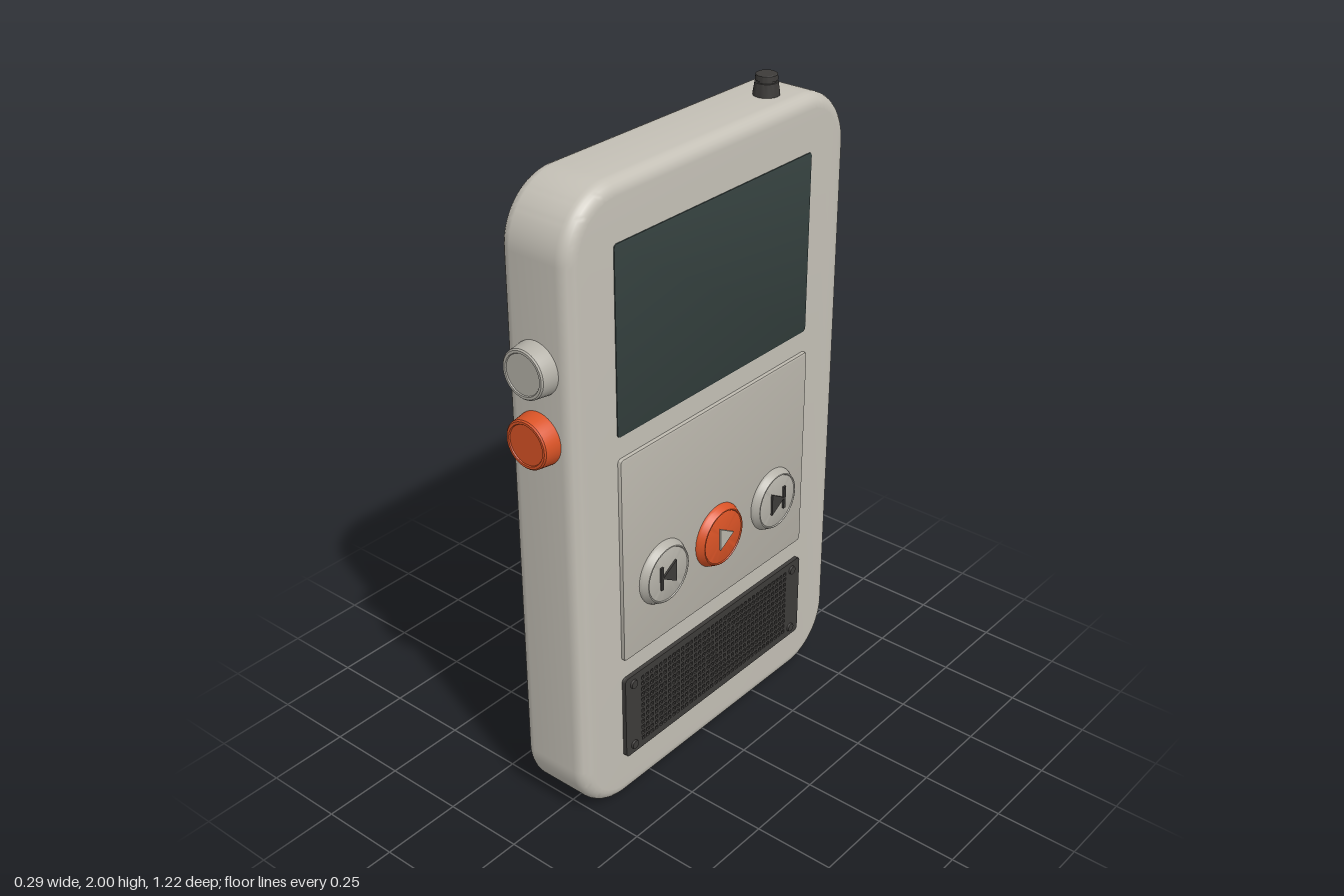
import * as THREE from 'three';
import { toCreasedNormals } from 'three/addons/utils/BufferGeometryUtils.js';

const mat = (color) => new THREE.MeshStandardMaterial({ color });
const shell = mat(0xc4c0b6), panelGrey = mat(0xb8b4aa), buttonGrey = mat(0xb4b1a8);
const orange = mat(0xd95326), dark = mat(0x3d3b39), glass = mat(0x34403e);

function add(parent, name, geometry, material, x = 0, y = 0, z = 0) {
  const mesh = new THREE.Mesh(geometry, material);
  mesh.name = name;
  mesh.position.set(x, y, z);
  parent.add(mesh);
  return mesh;
}

// Rounded rectangle outline
function roundRect(u0, u1, v0, v1, r) {
  const s = new THREE.Shape();
  s.absarc(u1 - r, v0 + r, r, -Math.PI / 2, 0);
  s.absarc(u1 - r, v1 - r, r, 0, Math.PI / 2);
  s.absarc(u0 + r, v1 - r, r, Math.PI / 2, Math.PI);
  s.absarc(u0 + r, v0 + r, r, Math.PI, Math.PI * 1.5);
  s.closePath();
  return s;
}

// Slab with rounded corners and bevelled edges, spanning exactly the given bounds
function slab([u0, u1], [v0, v1], [w0, w1], r, b, bevelSegments = 2, curveSegments = 4) {
  const g = new THREE.ExtrudeGeometry(roundRect(u0 + b, u1 - b, v0 + b, v1 - b, r - b), {
    depth: w1 - w0 - 2 * b, bevelThickness: b, bevelSize: b, bevelSegments, curveSegments,
  });
  g.translate(0, 0, w0 + b);
  return toCreasedNormals(g, 0.6);
}

// Turned part from [radius, height] points
function turned(points, segments = 40) {
  const g = new THREE.LatheGeometry(points.map((p) => new THREE.Vector2(...p)), segments);
  return toCreasedNormals(g, 0.5);
}

// Flat symbol made of a polygon
function symbol(points, depth) {
  const s = new THREE.Shape(points.map((p) => new THREE.Vector2(...p)));
  return new THREE.ExtrudeGeometry(s, { depth, bevelEnabled: false });
}

// Four small screws at the corners of a plate
function screws(parent, name, us, vs, w) {
  for (const u of us) for (const v of vs) {
    const g = new THREE.CylinderGeometry(0.013, 0.016, 0.012, 16).rotateX(Math.PI / 2);
    add(parent, name, g, parent.userData.screwMaterial, u, v, w);
  }
}

export function createModel() {
  const root = new THREE.Group();
  root.name = 'handheldPlayer';

  // Working face looks along +x: local x runs to -z, local z to +x
  const face = new THREE.Group();
  face.name = 'faceAssembly';
  face.rotation.y = Math.PI / 2;
  root.add(face);

  const wide = [-0.39, 0.44];
  add(face, 'body', slab([-0.56, 0.61], [0, 1.94], [-0.13, 0.105], 0.18, 0.04, 6, 12), shell);
  add(face, 'screen', slab(wide, [1.22, 1.775], [0.08, 0.108], 0.012, 0.003), glass);
  add(face, 'controlPanel', slab(wide, [0.495, 1.155], [0.08, 0.117], 0.012, 0.006), panelGrey);

  // Speaker: backing plate and perforated grille
  const speaker = new THREE.Group();
  speaker.name = 'speaker';
  speaker.userData.screwMaterial = dark;
  face.add(speaker);
  add(speaker, 'speakerPlate', slab(wide, [0.15, 0.43], [0.08, 0.111], 0.012, 0.003), dark);
  const grille = roundRect(wide[0], wide[1], 0.15, 0.43, 0.012);
  const pitch = 0.02, h = 0.006;
  for (let i = 0; i < 35; i++) for (let j = 0; j < 12; j++) {
    const u = 0.025 + (i - 17) * pitch, v = 0.29 + (j - 5.5) * pitch;
    const hole = new THREE.Path();
    hole.moveTo(u - h, v - h).lineTo(u - h, v + h).lineTo(u + h, v + h).lineTo(u + h, v - h).closePath();
    grille.holes.push(hole);
  }
  const grilleGeo = new THREE.ExtrudeGeometry(grille, { depth: 0.008, bevelEnabled: false, curveSegments: 3 });
  add(speaker, 'speakerGrille', grilleGeo, dark, 0, 0, 0.11);
  screws(speaker, 'speakerScrew', [-0.355, 0.4], [0.18, 0.4], 0.118);

  // Round playback buttons
  const buttonGeo = turned([
    [0.1, 0], [0.1, 0.014], [0.097, 0.02], [0.088, 0.036], [0.085, 0.037], [0.083, 0.034], [0, 0.034],
  ], 48).rotateX(Math.PI / 2);
  const buttons = [
    ['previous', -0.224, buttonGrey], ['play', 0.024, orange], ['next', 0.283, buttonGrey],
  ];
  for (const [name, u, material] of buttons) {
    const button = new THREE.Group();
    button.name = name + 'Button';
    button.position.set(u, 0.72, 0.105);
    face.add(button);
    add(button, name + 'Cap', buttonGeo, material);
    const play = name === 'play';
    const triangle = symbol([[-0.03, -0.036], [0.03, 0], [-0.03, 0.036]], 0.012);
    const icon = add(button, name + 'Symbol', triangle, play ? panelGrey : dark, play ? 0.012 : 0, 0, 0.028);
    if (!play) {
      if (name === 'previous') icon.rotation.z = Math.PI;
      const side = name === 'previous' ? -1 : 1;
      add(button, name + 'Bar', new THREE.BoxGeometry(0.009, 0.075, 0.012), dark, side * 0.031, 0, 0.034);
    }
  }

  // Battery cover on the back
  const cover = new THREE.Group();
  cover.name = 'batteryCover';
  cover.userData.screwMaterial = shell;
  face.add(cover);
  add(cover, 'coverPlate', slab([-0.385, 0.44], [0.145, 0.755], [-0.143, -0.11], 0.012, 0.005), shell);
  screws(cover, 'coverScrew', [-0.35, 0.405], [0.18, 0.715], -0.143);
  cover.children.slice(1).forEach((s) => { s.rotation.y = Math.PI; });

  // Push buttons on the narrow front edge
  const pushGeo = turned([
    [0.077, 0], [0.077, 0.014], [0.071, 0.058], [0.067, 0.062], [0.06, 0.062], [0.058, 0.059], [0, 0.059],
  ]).rotateX(Math.PI / 2);
  add(root, 'upperSideButton', pushGeo, buttonGrey, -0.013, 1.46, 0.55);
  add(root, 'lowerSideButton', pushGeo, orange, -0.013, 1.255, 0.55);

  // Stub antenna on top
  const antennaGeo = turned([
    [0.038, 0], [0.038, 0.015], [0.033, 0.047], [0.029, 0.048], [0.029, 0.052],
    [0.032, 0.053], [0.031, 0.068], [0.028, 0.07], [0, 0.07],
  ], 32);
  add(root, 'antenna', antennaGeo, dark, 0.003, 1.93, -0.36);

  return root;
}
